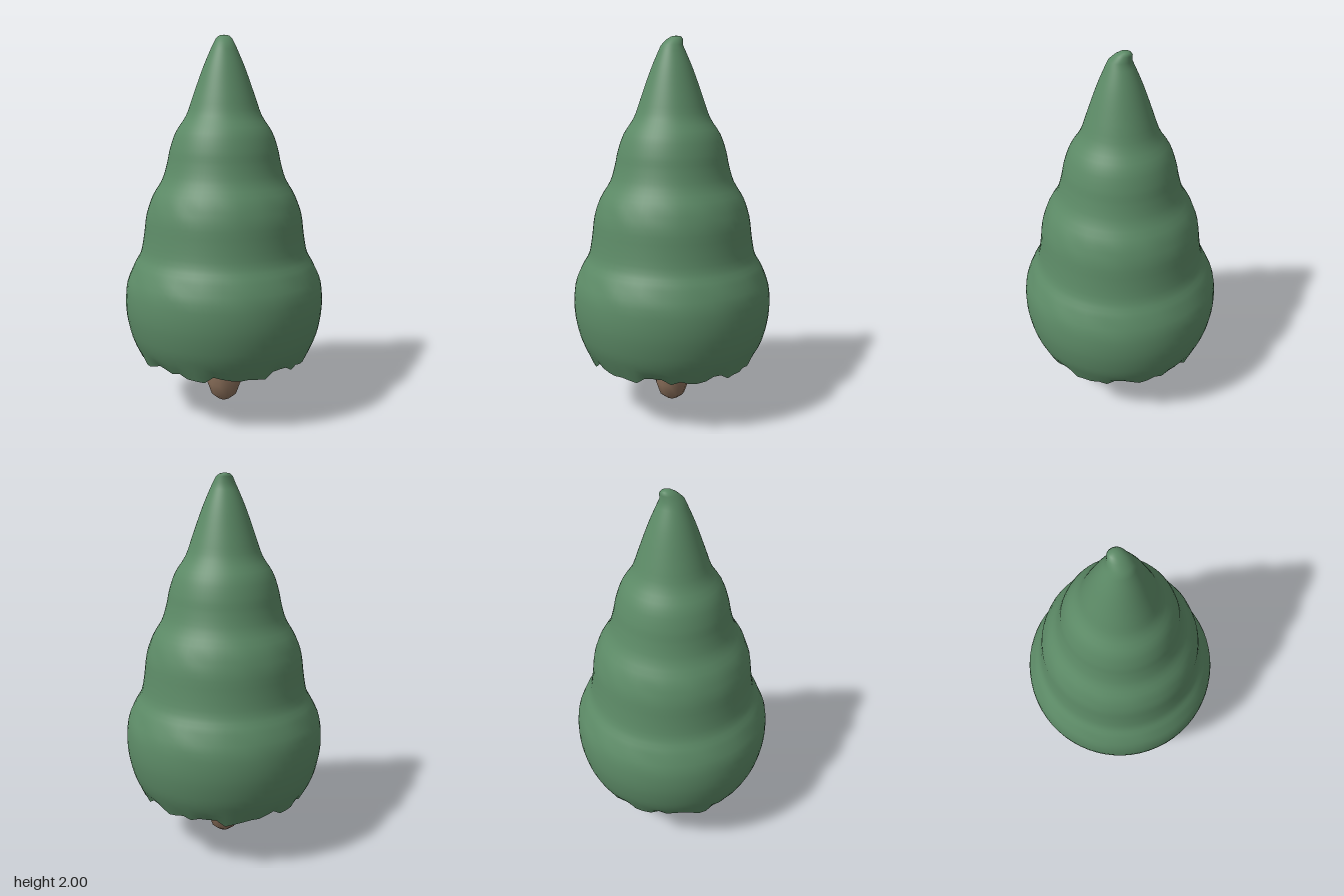
import * as THREE from 'three';
import { mergeVertices } from 'three/addons/utils/BufferGeometryUtils.js';

const toPoints = (list) => list.map(([r, y]) => new THREE.Vector2(r, y));

// Turns a profile, moves its vertices by a rule and welds the seam for smooth normals
function turned(points, sides, move) {
  const geo = new THREE.LatheGeometry(points, sides);
  geo.deleteAttribute('uv');
  geo.deleteAttribute('normal');
  const pos = geo.attributes.position;
  const v = new THREE.Vector3();
  for (let i = 0; i < pos.count; i++) {
    v.fromBufferAttribute(pos, i);
    move(v, Math.atan2(v.x, v.z));
    pos.setXYZ(i, v.x, v.y, v.z);
  }
  const welded = mergeVertices(geo, 1e-4);
  welded.computeVertexNormals();
  return welded;
}

export function createModel() {
  const tree = new THREE.Group();
  tree.name = 'tree';

  // Foliage: hollow shell with four swelling tiers
  const tiers = new THREE.SplineCurve(toPoints([
    [0.455, 0.3], [0.49, 0.37], [0.517, 0.45], [0.535, 0.57], [0.526, 0.7],
    [0.49, 0.79], [0.45, 0.86], [0.43, 0.96], [0.415, 1.07], [0.385, 1.16],
    [0.33, 1.25], [0.302, 1.34], [0.287, 1.41], [0.255, 1.5], [0.2, 1.585],
    [0.165, 1.68], [0.122, 1.8], [0.085, 1.89], [0.042, 1.975], [0, 1.99],
  ])).getPoints(57);
  const foliageGeo = turned(tiers, 64, (v, a) => {
    // Ragged hem, lower at the sides than at the front and back
    const hem = Math.max(0, 1 - (v.y - 0.3) / 0.06);
    const teeth = 0.011 * Math.sin(9 * a + 0.7) + 0.009 * Math.sin(17 * a + 2) + 0.006 * Math.sin(29 * a);
    v.y += hem * (teeth + 0.006 * Math.cos(4 * a));
    // Faint dents on the tier shoulders
    const shoulder = Math.exp(-(((v.y - 0.75) / 0.05) ** 2)) + Math.exp(-(((v.y - 1.13) / 0.05) ** 2));
    const dent = 1 - 0.006 * shoulder * (1 + Math.sin(11 * a + 20 * v.y) * Math.sin(5 * a));
    v.x *= dent;
    v.z *= dent;
    // Tip leans slightly to one side
    const tip = THREE.MathUtils.smoothstep(v.y, 1.95, 1.99);
    v.x -= 0.02 * tip;
    v.z -= 0.02 * tip;
    v.y += 0.01 * tip;
  });
  const foliage = new THREE.Mesh(
    foliageGeo,
    new THREE.MeshStandardMaterial({ color: 0x5c8a66, side: THREE.DoubleSide }),
  );
  foliage.name = 'foliage';
  tree.add(foliage);

  // Trunk: tapering post with a rounded foot, running up inside the foliage
  const trunkGeo = turned(toPoints([
    [0, 0], [0.035, 0.012], [0.07, 0.04], [0.095, 0.11], [0.095, 0.18],
    [0.087, 0.31], [0.07, 0.55], [0.05, 0.85], [0, 0.95],
  ]), 12, () => {});
  const trunk = new THREE.Mesh(trunkGeo, new THREE.MeshStandardMaterial({ color: 0x8a6f5a }));
  trunk.name = 'trunk';
  tree.add(trunk);

  return tree;
}
